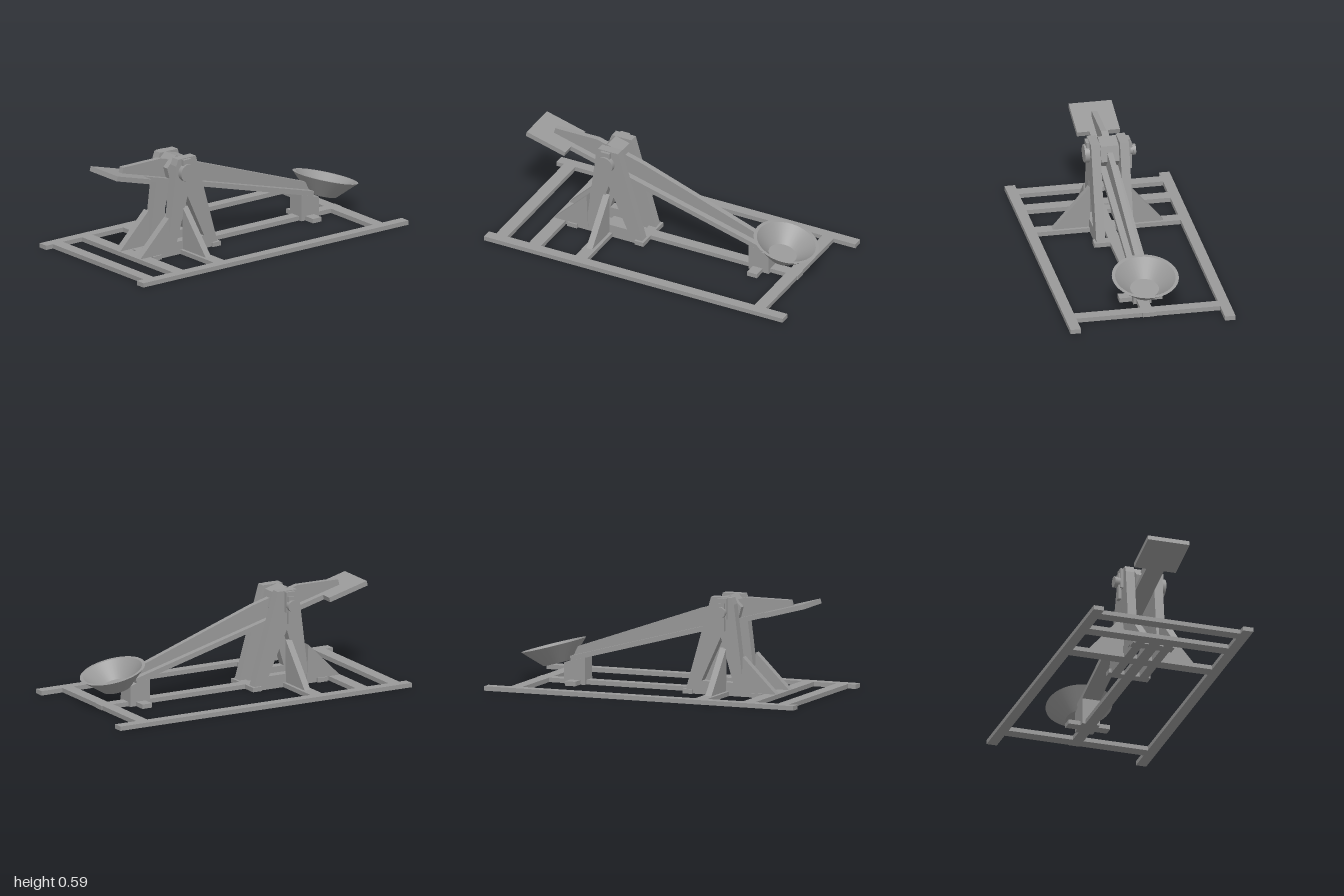
import * as THREE from 'three';

const grey = new THREE.MeshStandardMaterial({ color: 0x999999 });
grey.name = 'plain grey';

function add(parent, name, geometry) {
  const mesh = new THREE.Mesh(geometry, grey);
  mesh.name = name;
  parent.add(mesh);
  return mesh;
}

// Box given by its limits on each axis
function box(parent, name, x0, x1, y0, y1, z0, z1) {
  const mesh = add(parent, name, new THREE.BoxGeometry(x1 - x0, y1 - y0, z1 - z0));
  mesh.position.set((x0 + x1) / 2, (y0 + y1) / 2, (z0 + z1) / 2);
  return mesh;
}

// Side profile in x and y, extruded from z0 to z1
function slab(parent, name, points, z0, z1, hole) {
  const toVectors = (list) => list.map(([x, y]) => new THREE.Vector2(x, y));
  const shape = new THREE.Shape(toVectors(points));
  if (hole) shape.holes.push(new THREE.Path(toVectors(hole)));
  const geometry = new THREE.ExtrudeGeometry(shape, { depth: z1 - z0, bevelEnabled: false });
  geometry.translate(0, 0, z0);
  return add(parent, name, geometry);
}

// Cylinder lying along z
function rod(parent, name, radius, z0, z1, x, y, sides = 32) {
  const geometry = new THREE.CylinderGeometry(radius, radius, z1 - z0, sides);
  if (sides === 6) geometry.rotateY(Math.PI / 6 + Math.PI / 3);
  geometry.rotateX(Math.PI / 2);
  const mesh = add(parent, name, geometry);
  if (sides === 6) mesh.geometry = flat(geometry);
  mesh.position.set(x, y, (z0 + z1) / 2);
  return mesh;
}

function flat(geometry) {
  const g = geometry.toNonIndexed();
  g.computeVertexNormals();
  return g;
}

export function createModel() {
  const model = new THREE.Group();
  model.name = 'catapult';
  const H = 0.027;
  const PX = -0.38, PY = 0.503;

  // Base frame
  const base = new THREE.Group();
  base.name = 'baseFrame';
  model.add(base);
  for (const s of [-1, 1]) {
    box(base, 'sideRail', -1, 1, 0, H, s * 0.468 - 0.032, s * 0.468 + 0.032);
    box(base, 'standRail', -0.73, -0.125, 0, H, s * 0.0875 - 0.0275, s * 0.0875 + 0.0275);
  }
  for (const [x0, x1] of [[-0.95, -0.875], [-0.73, -0.65], [-0.42, -0.34], [0.78, 0.855]]) {
    box(base, 'crossBar', x0, x1, 0, H, -0.436, 0.436);
  }
  for (const [x0, x1] of [[-0.635, -0.57], [-0.185, -0.125], [0.57, 0.635]]) {
    box(base, 'crossPad', x0, x1, 0, H, -0.13, 0.13);
  }
  box(base, 'centreRail', -0.65, 0.86, 0, H, -0.034, 0.034);

  // Support stand: two pierced side plates with braces
  const stand = new THREE.Group();
  stand.name = 'stand';
  model.add(stand);
  for (const s of [-1, 1]) {
    const lo = s > 0 ? 0.06 : -0.115;
    slab(stand, 'sidePlate',
      [[-0.515, H], [-0.14, H], [-0.302, 0.59], [-0.435, 0.59], [-0.45, 0.55]], lo, lo + 0.055,
      [[-0.445, 0.08], [-0.365, 0.35], [-0.24, 0.08]]);
    slab(stand, 'rearBrace', [[-0.725, H], [-0.5, H], [-0.51, 0.24]], s * 0.0975 - 0.0225, s * 0.0975 + 0.0225);
    // Outer brace, turned to point sideways
    const brace = slab(stand, 'outerBrace', [[0.11, H], [0.335, H], [0.11, 0.288]], -0.02, 0.02);
    brace.rotation.y = -s * Math.PI / 2;
    brace.position.x = PX;
    box(stand, 'bearingPlate', PX - 0.03, PX + 0.03, 0.46, 0.585, s * 0.124 - 0.01, s * 0.124 + 0.01);
  }

  // Axle with end disc, lever and nut
  const axle = new THREE.Group();
  axle.name = 'axle';
  model.add(axle);
  rod(axle, 'axleRod', 0.03, -0.155, 0.12, PX, PY);
  rod(axle, 'axleDisc', 0.055, 0.115, 0.145, PX, PY);
  box(axle, 'axleLever', PX - 0.02, PX + 0.02, 0.39, 0.557, -0.144, -0.126);
  rod(axle, 'axleNut', 0.034, -0.168, -0.15, PX, PY);

  // Throwing arm, built level about the axle and then tilted
  const arm = new THREE.Group();
  arm.name = 'throwingArm';
  arm.position.set(PX, PY, 0);
  arm.rotation.z = -Math.PI / 12;
  model.add(arm);
  rod(arm, 'hub', 0.095, -0.055, 0.055, 0, 0, 6);
  box(arm, 'armPlank', -0.3, 1.07, -0.09, -0.06, -0.055, 0.055);
  box(arm, 'rearPlate', -0.527, -0.26, -0.09, -0.06, -0.13, 0.13);
  slab(arm, 'armRib',
    [[-0.4, -0.06], [1.06, -0.06], [1.02, -0.015], [0.19, 0.047], [-0.13, 0.049], [-0.4, -0.025]],
    -0.017, 0.017);

  // Bowl: separate lathed bands keep the rim and floor edges sharp
  const bowl = new THREE.Group();
  bowl.name = 'bowl';
  bowl.position.x = 1.179;
  arm.add(bowl);
  const bands = {
    bowlUnderside: [[0, -0.085], [0.09, -0.085]],
    bowlOuterWall: [[0.09, -0.085], [0.2, 0.025]],
    bowlRim: [[0.2, 0.025], [0.18, 0.025]],
    bowlInnerWall: [[0.18, 0.025], [0.086, -0.068]],
    bowlFloor: [[0.086, -0.068], [0, -0.068]],
  };
  for (const [name, pts] of Object.entries(bands)) {
    add(bowl, name, new THREE.LatheGeometry(pts.map(([r, y]) => new THREE.Vector2(r, y)), 40));
  }

  // Block on which the arm rests
  slab(model, 'armRest', [[0.54, 0], [0.675, 0], [0.675, 0.127], [0.54, 0.163]], -0.055, 0.055);

  return model;
}
